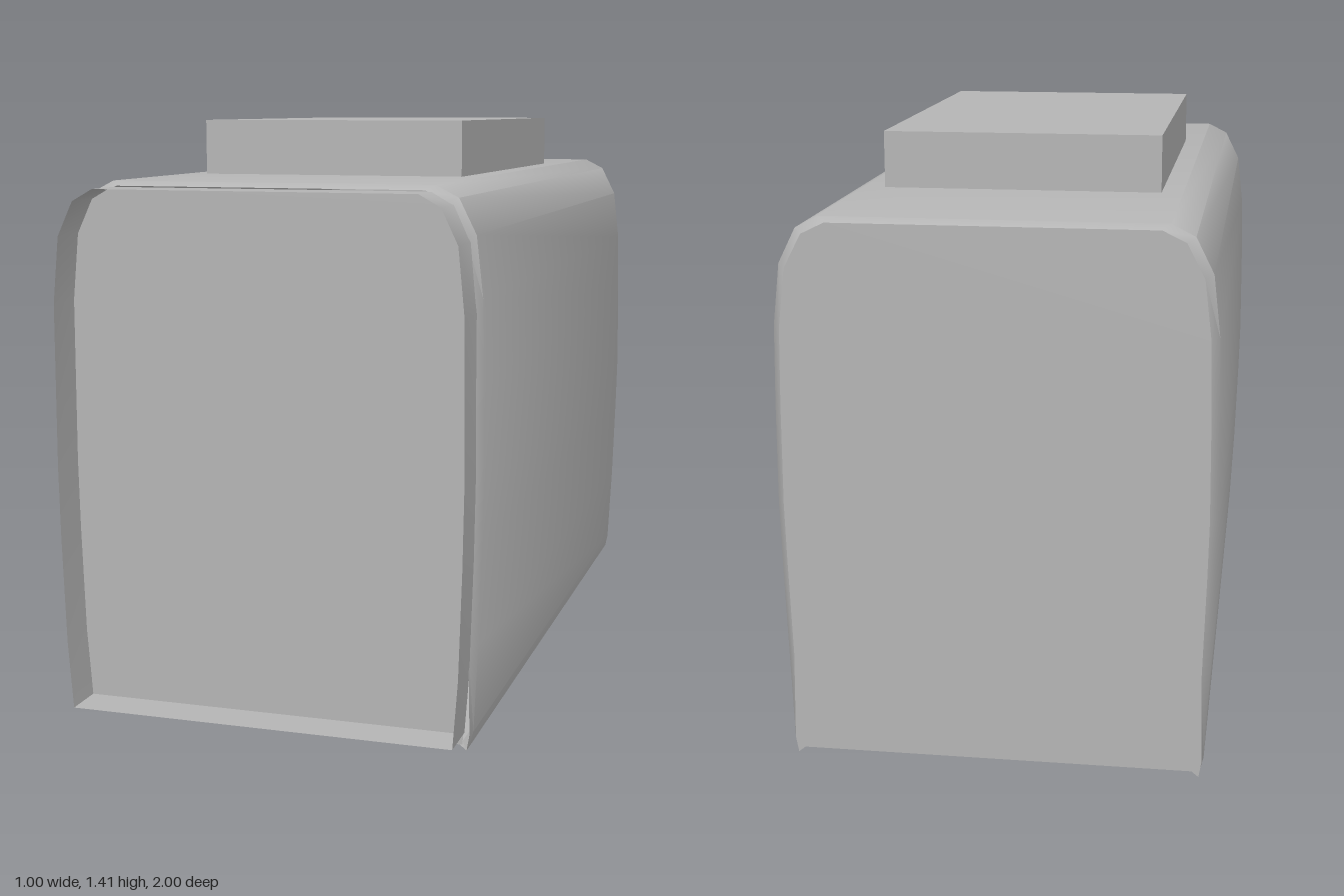
import * as THREE from 'three';
import { toCreasedNormals } from 'three/addons/utils/BufferGeometryUtils.js';

const grey = new THREE.MeshStandardMaterial({ color: 0xb4b4b4, side: THREE.DoubleSide });
grey.name = 'grey';

// Right half of each cross-section, bottom to top
const bodyHalf = [
  [0.455, 0.015], [0.47, 0.002], [0.48, 0.04], [0.49, 0.25], [0.497, 0.48], [0.5, 0.62],
  [0.498, 0.85], [0.494, 1.03], [0.478, 1.17], [0.438, 1.25], [0.385, 1.277],
];
const collarHalf = [
  [0.462, 0.04], [0.474, 0.2], [0.482, 0.45], [0.485, 0.62], [0.483, 1.0],
  [0.468, 1.155], [0.43, 1.235], [0.38, 1.263],
];

const mirrorHalf = (half) => [...half, ...half.slice().reverse().map(([x, y]) => [-x, y])];

// Shrinks the sides and top of an outline, leaving its foot in place
const inset = (half, d) => half.map(([x, y]) => [
  x - d * Math.min(1, y / 0.2), y - d * 0.6 * Math.max(0, (y - 1) / 0.277),
]);

// Skin through a series of { z, half } sections, back to front
function loft(sections) {
  const rings = sections.map((s) => mirrorHalf(s.half));
  const n = rings[0].length;
  const positions = [];
  const index = [];
  rings.forEach((ring, k) => ring.forEach(([x, y]) => positions.push(x, y, sections[k].z)));
  for (let k = 0; k < rings.length - 1; k++) {
    for (let i = 0; i < n; i++) {
      const a = k * n + i;
      const b = k * n + ((i + 1) % n);
      index.push(a, b, b + n, a, b + n, a + n);
    }
  }
  const geometry = new THREE.BufferGeometry();
  geometry.setAttribute('position', new THREE.Float32BufferAttribute(positions, 3));
  geometry.setIndex(index);
  return toCreasedNormals(geometry, 0.7);
}

const plate = (half) => new THREE.ShapeGeometry(
  new THREE.Shape(mirrorHalf(half).map(([x, y]) => new THREE.Vector2(x, y))));

export function createModel() {
  const model = new THREE.Group();
  const add = (name, geometry) => {
    const mesh = new THREE.Mesh(geometry, grey);
    mesh.name = name;
    model.add(mesh);
    return mesh;
  };

  // Long body with slightly bevelled ends
  const endHalf = inset(bodyHalf, 0.018);
  add('body', loft([
    { z: -1, half: endHalf },
    { z: -0.978, half: bodyHalf },
    { z: 0.878, half: bodyHalf },
    { z: 0.9, half: endHalf },
  ]));
  const back = add('backPanel', plate(endHalf));
  back.rotation.y = Math.PI;
  back.position.z = -1;

  // Open collar around the recessed front
  add('frontCollar', loft([{ z: 0.89, half: collarHalf }, { z: 1, half: collarHalf }]));
  const front = add('frontPanel', plate([[0.46, 0.015], ...collarHalf.slice(1)]));
  front.position.z = 0.9;

  // Flat box on the roof
  const box = add('roofBox', new THREE.BoxGeometry(0.667, 0.142, 1));
  box.position.set(0, 1.341, -0.055);

  return model;
}
